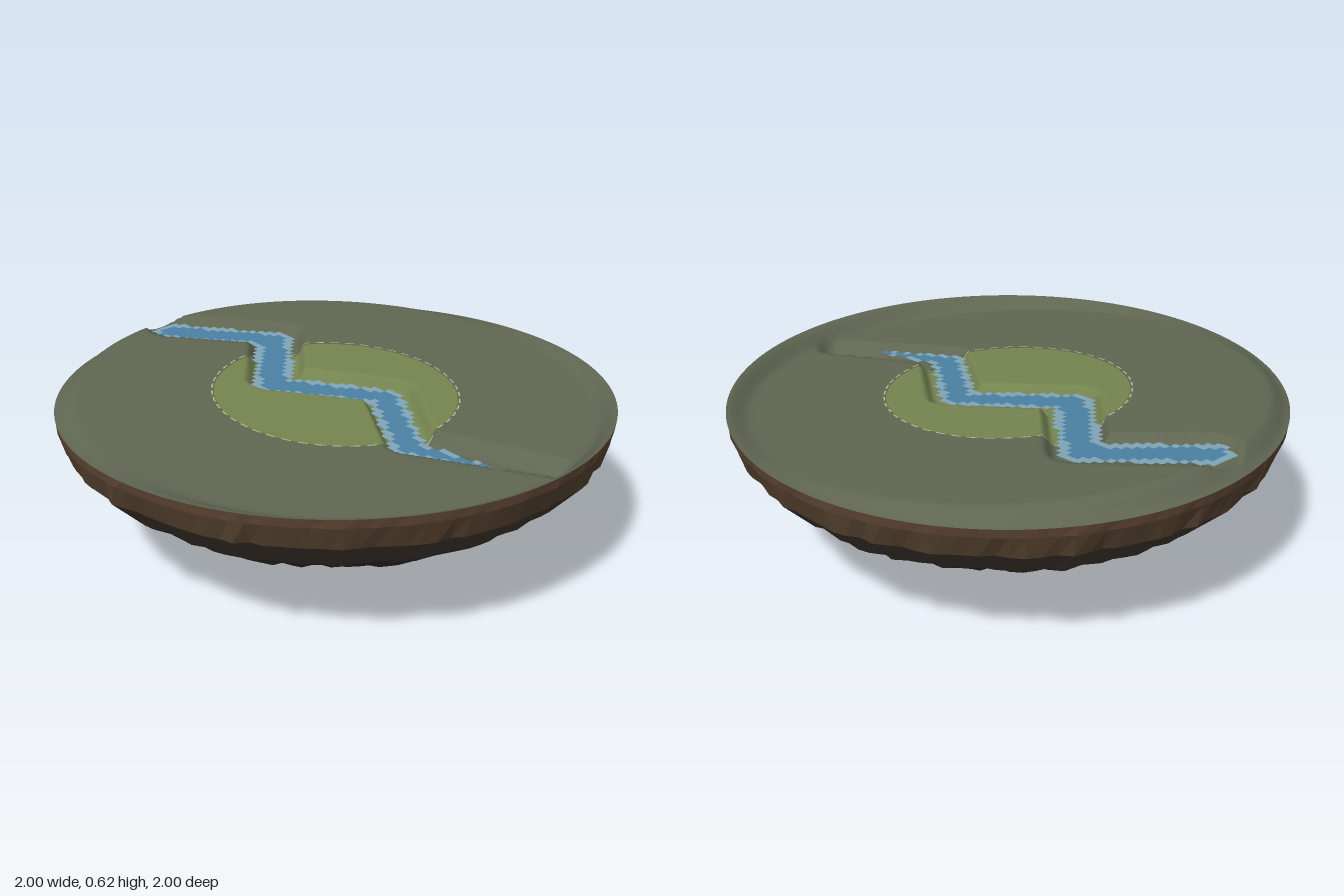
import * as THREE from 'three';

const RIM_Y = 0.567;
const SIDES = 128;
const smooth = THREE.MathUtils.smoothstep;

// River course as [x, z, half width]
const river = [
  [-0.86, 0.09, 0.07], [-0.55, -0.18, 0.065], [-0.22, 0.11, 0.065],
  [0.11, -0.14, 0.06], [0.45, 0.09, 0.055], [0.73, -0.02, 0.008],
];
// River bed: same course, set slightly back, running on past the water
const bed = river.slice(0, 5).map(([x, z, w]) => [x, z - 0.015, w]).concat([[0.87, -0.15, 0.02]]);

// Distance to a path and the path's width at the closest point
function nearest(path, x, z) {
  let best = { d: Infinity, w: 0 };
  for (let i = 0; i < path.length - 1; i++) {
    const [ax, az, aw] = path[i], [bx, bz, bw] = path[i + 1];
    const dx = bx - ax, dz = bz - az;
    const t = THREE.MathUtils.clamp(((x - ax) * dx + (z - az) * dz) / (dx * dx + dz * dz), 0, 1);
    const d = Math.hypot(x - ax - t * dx, z - az - t * dz);
    if (d < best.d) best = { d, w: aw + (bw - aw) * t };
  }
  return best;
}

// Tilted ground that blends into a level rim
function slope(x, z) {
  return RIM_Y - 0.062 * x * (1 - smooth(Math.hypot(x, z), 0.92, 1));
}

function ground(x, z) {
  const { d, w } = nearest(bed, x, z);
  const fade = 1 - smooth(Math.hypot(x, z), 0.92, 0.99);
  return slope(x, z) - 0.045 * fade * (1 - smooth(d, w + 0.01, w + 0.05));
}

function hash(a, b) {
  const s = Math.sin(a * 127.1 + b * 311.7) * 43758.5453;
  return s - Math.floor(s);
}

function addMesh(group, name, geometry, color, options = {}) {
  const mesh = new THREE.Mesh(geometry, new THREE.MeshStandardMaterial({ color, ...options }));
  mesh.name = name;
  group.add(mesh);
}

// Ring of terrain draped over the ground
function terrain(inner, outer, rings, lift = 0, segments = 256, start = 0, length = Math.PI * 2) {
  const geometry = new THREE.RingGeometry(inner, outer, segments, rings, start, length);
  geometry.rotateX(-Math.PI / 2);
  const p = geometry.attributes.position;
  for (let i = 0; i < p.count; i++) p.setY(i, ground(p.getX(i), p.getZ(i)) + lift);
  geometry.computeVertexNormals();
  return geometry;
}

// Square water cells whose distance ratio from the course lies in [from, to)
function waterCells(from, to) {
  const size = 0.025, points = [];
  for (let i = -38; i < 32; i++) {
    for (let j = -14; j < 12; j++) {
      const x = i * size, z = j * size;
      const { d, w } = nearest(river, x + size / 2, z + size / 2);
      if (d / w < from || d / w >= to) continue;
      const corners = [[0, 0], [0, 1], [1, 1], [0, 0], [1, 1], [1, 0]];
      for (const [u, v] of corners) {
        const px = x + u * size, pz = z + v * size;
        points.push(px, slope(px, pz) - 0.024, pz);
      }
    }
  }
  const geometry = new THREE.BufferGeometry();
  geometry.setAttribute('position', new THREE.Float32BufferAttribute(points, 3));
  geometry.computeVertexNormals();
  return geometry;
}

// Rock levels as [y, radius, roughness]
const levels = [
  [RIM_Y, 1, 0], [0.535, 1, 0.008], [0.45, 0.98, 0.03], [0.33, 0.87, 0.05],
  [0.2, 0.665, 0.07], [0.08, 0.385, 0.09], [0, 0, 0],
];

function rockBand(row) {
  const geometry = new THREE.CylinderGeometry(1, 1, 1, SIDES, 1, true);
  const p = geometry.attributes.position;
  for (let i = 0; i < p.count; i++) {
    const k = row + Math.floor(i / (SIDES + 1));
    const j = (i % (SIDES + 1)) % SIDES;
    const [y, radius, rough] = levels[k];
    const r = radius * (1 - rough * (0.6 * hash(j, 0) + 0.4 * hash(j, k)));
    const a = (j / SIDES) * Math.PI * 2;
    p.setXYZ(i, Math.sin(a) * r, y, Math.cos(a) * r);
  }
  geometry.computeVertexNormals();
  return geometry;
}

export function createModel() {
  const island = new THREE.Group();
  island.name = 'floatingIsland';

  // Rocky underside, darker towards the tip
  const rock = new THREE.Group();
  rock.name = 'rockUnderside';
  const browns = [0x5c4432, 0x57432f, 0x423830, 0x342e2b, 0x262424, 0x202021];
  browns.forEach((color, row) => addMesh(rock, 'rockBand' + (row + 1), rockBand(row), color, { flatShading: true }));
  island.add(rock);

  // Ground and the brighter clearing in the middle
  addMesh(island, 'outerGround', terrain(0.44, 1, 44), 0x5f6651);
  addMesh(island, 'clearing', terrain(0, 0.44, 34), 0x75854f);

  // Dashed border of the clearing
  const border = new THREE.Group();
  border.name = 'clearingBorder';
  const dashes = 48, step = (Math.PI * 2) / dashes;
  for (let i = 0; i < dashes; i++) {
    addMesh(border, 'dash', terrain(0.444, 0.45, 1, 0.003, 4, i * step, step * 0.6), 0xb5b78c,
      { side: THREE.DoubleSide });
  }
  island.add(border);

  // River: deep middle and pale edges
  addMesh(island, 'deepWater', waterCells(0, 0.68), 0x4a80a3, { side: THREE.DoubleSide });
  addMesh(island, 'shallowWater', waterCells(0.68, 1.1), 0x7fa5b8, { side: THREE.DoubleSide });

  return island;
}
